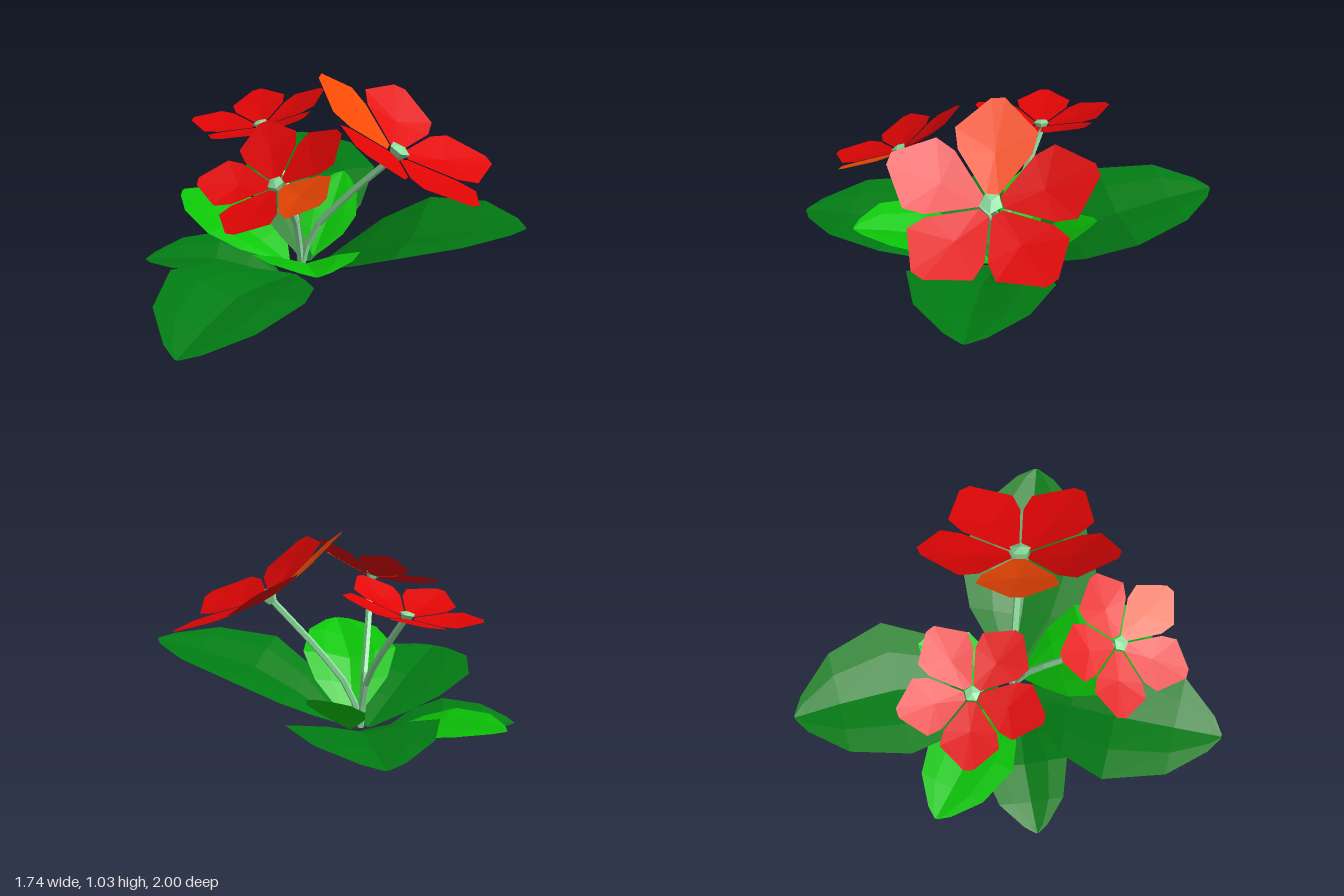
import * as THREE from 'three';

const DARK = 0x027d14, BRIGHT = 0x0cc808, RED = 0xe20505, ORANGE = 0xf84a04, STEM = 0x8cdc9c;
const V = (p) => new THREE.Vector3(...p);
const material = (color) =>
  new THREE.MeshStandardMaterial({ color, flatShading: true, side: THREE.DoubleSide });

function surface(points, indices, color, name) {
  const geo = new THREE.BufferGeometry();
  geo.setAttribute('position', new THREE.Float32BufferAttribute(points, 3));
  geo.setIndex(indices);
  geo.computeVertexNormals();
  const mesh = new THREE.Mesh(geo, material(color));
  mesh.name = name;
  return mesh;
}

// Leaf: cross-sections swept along the midrib, edges lifted into a shallow V
const LEAF_ROWS = [[0, 0.05], [0.12, 0.4], [0.27, 0.77], [0.5, 1], [0.78, 0.74], [0.95, 0.27], [1, 0.03]];
const LEAF_COLS = [[-1, 1], [-0.55, 0.75], [0, 0], [0.55, 0.75], [1, 1]];

function leaf(name, base, mid, tip, halfWidth, fold, color) {
  const curve = new THREE.CatmullRomCurve3([V(base), V(mid), V(tip)]);
  const side = new THREE.Vector3(base[2] - tip[2], 0, tip[0] - base[0]).normalize();
  const points = [], indices = [];
  LEAF_ROWS.forEach(([t, w], r) => {
    const p = curve.getPoint(t);
    for (const [u, lift] of LEAF_COLS) {
      const q = p.clone().addScaledVector(side, u * w * halfWidth);
      points.push(q.x, q.y + lift * w * fold, q.z);
    }
    if (r === 0) return;
    for (let c = 0; c < 4; c++) {
      const a = (r - 1) * 5 + c, b = a + 5;
      indices.push(a, a + 1, b, a + 1, b + 1, b);
    }
  });
  // Upper side faces up
  return surface(points, indices.reverse(), color, name);
}

// Petal: kite-like outline (along, across) fanned around a slightly sunken centre
const PETAL = [
  [0.1, -0.06], [0.5, -0.345], [0.7, -0.385], [0.99, -0.07],
  [1, 0.06], [0.7, 0.385], [0.5, 0.345], [0.1, 0.06],
];

function petal(radius, color) {
  const cup = Math.tan(THREE.MathUtils.degToRad(14));
  const points = [0.5 * radius, (0.5 * cup - 0.03) * radius, 0];
  const indices = [];
  PETAL.forEach(([a, w], i) => {
    points.push(a * radius, a * cup * radius, w * radius);
    indices.push(0, 1 + ((i + 1) % PETAL.length), 1 + i);
  });
  return surface(points, indices, color, 'petal');
}

// Flower: five petals around a small five-sided centre, tilted to its normal
function flower(name, center, normal, radius, orangeIndex) {
  const group = new THREE.Group();
  group.name = name;
  for (let k = 0; k < 5; k++) {
    const p = petal(radius, k === orangeIndex ? ORANGE : RED);
    p.rotation.y = -THREE.MathUtils.degToRad(-20 + 72 * k);
    group.add(p);
  }
  const r = radius * 0.11;
  const heart = new THREE.Mesh(new THREE.CylinderGeometry(r, r * 0.45, r * 1.1, 5), material(STEM));
  heart.name = 'flowerCenter';
  heart.position.y = r * 0.1;
  const button = new THREE.Mesh(new THREE.ConeGeometry(r, r * 0.3, 5), material(STEM));
  button.name = 'flowerButton';
  button.position.y = r * 0.8;
  group.add(heart, button);
  group.position.set(...center);
  group.quaternion.setFromUnitVectors(new THREE.Vector3(0, 1, 0), V(normal).normalize());
  return group;
}

// Stem: thin five-sided tube
function stem(name, path) {
  const curve = new THREE.CatmullRomCurve3(path.map(V));
  const mesh = new THREE.Mesh(new THREE.TubeGeometry(curve, 6, 0.017, 5), material(STEM));
  mesh.name = name;
  return mesh;
}

export function createModel() {
  const plant = new THREE.Group();
  plant.name = 'floweringPlant';

  // Large dark leaves
  plant.add(
    leaf('backLeaf', [-0.09, 0.05, 0], [-0.07, 0.28, -0.5], [-0.11, 0.335, -1], 0.34, 0.05, DARK),
    leaf('frontRightLeaf', [-0.16, 0.04, 0.11], [-0.41, 0.15, 0.52], [-0.63, 0.145, 1], 0.34, 0.06, DARK),
    leaf('rightLeaf', [-0.2, 0.002, 0.08], [-0.53, 0.09, 0.03], [-0.87, 0.08, 0.01], 0.21, 0.04, DARK),
    leaf('leftLeaf', [-0.04, 0.07, 0.09], [0.39, 0.315, 0.27], [0.87, 0.425, 0.43], 0.34, 0.05, DARK),
  );

  // Smaller bright leaves
  plant.add(
    leaf('backRightSmallLeaf', [-0.18, 0.04, -0.01], [-0.43, 0.16, -0.21], [-0.72, 0.24, -0.45], 0.22, 0.03, BRIGHT),
    leaf('backLeftSmallLeaf', [-0.06, 0.08, 0], [0.02, 0.23, -0.15], [0.1, 0.375, -0.35], 0.145, 0.02, BRIGHT),
    leaf('frontSmallLeaf', [-0.08, 0.07, 0.13], [-0.1, 0.28, 0.45], [-0.06, 0.395, 0.79], 0.24, 0.05, BRIGHT),
  );

  // Flowers
  plant.add(
    flower('leftFlower', [0.31, 0.69, 0.2], [0.57, 1, 0.12], 0.48, 3),
    flower('frontFlower', [-0.22, 0.69, 0.53], [-0.38, 1, 0.36], 0.34, 1),
    flower('backFlower', [-0.3, 0.69, -0.17], [-0.22, 1, -0.03], 0.34, -1),
  );

  // Stems meeting at the root
  plant.add(
    stem('leftStem', [[-0.12, 0.06, 0.07], [-0.07, 0.24, 0.08], [0.06, 0.42, 0.12], [0.3, 0.68, 0.2]]),
    stem('frontStem', [[-0.12, 0.06, 0.07], [-0.14, 0.3, 0.12], [-0.17, 0.47, 0.26], [-0.215, 0.68, 0.52]]),
    stem('backStem', [[-0.12, 0.06, 0.07], [-0.14, 0.28, 0.05], [-0.18, 0.43, -0.03], [-0.29, 0.68, -0.165]]),
  );
  return plant;
}
